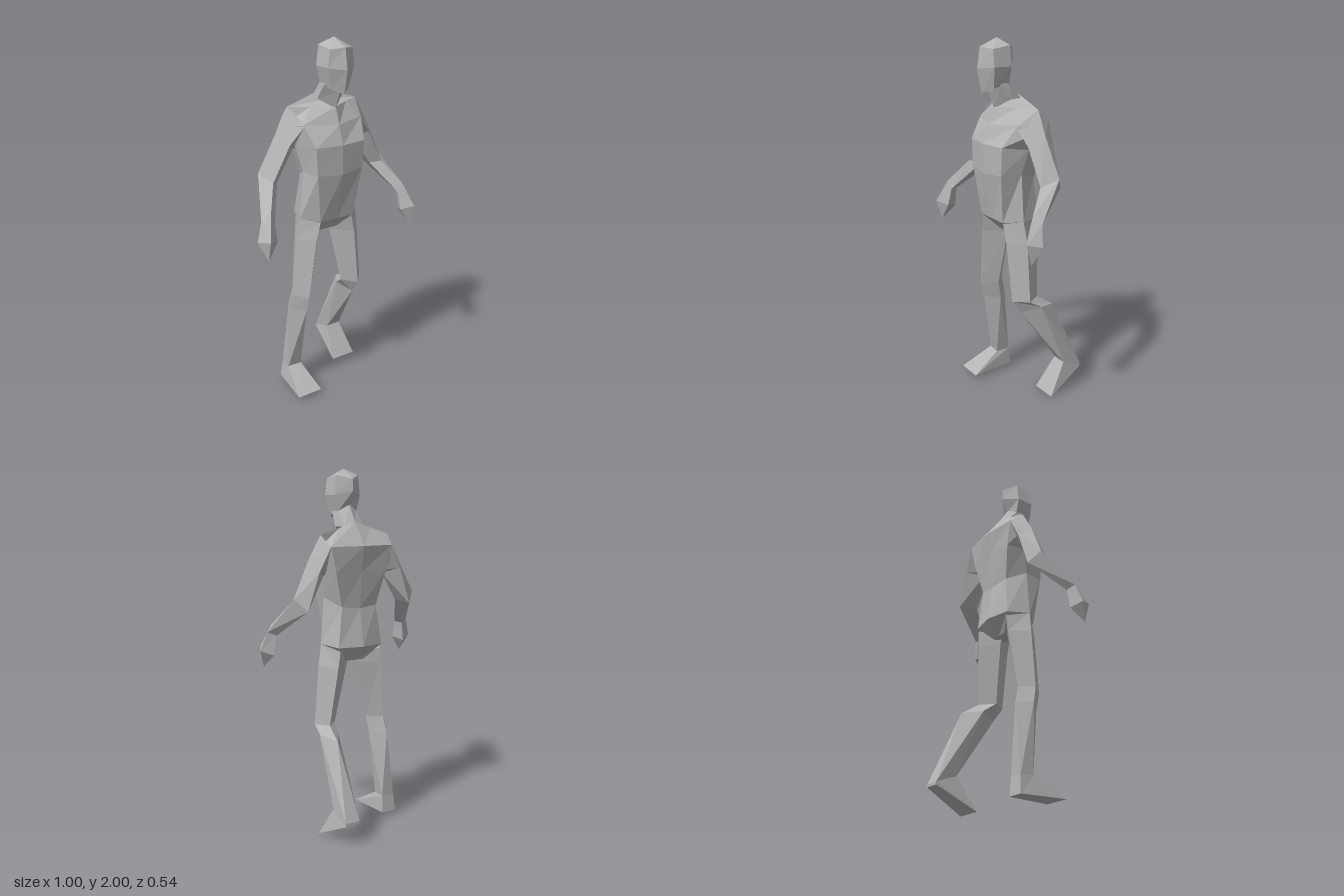
import * as THREE from 'three';

const grey = new THREE.MeshStandardMaterial({ color: 0xb4b4b4, flatShading: true });
grey.name = 'plain grey';

// Faceted skin over a stack of equal-sized rings, closed at both ends
function loft(name, rings) {
  const tris = [];
  const n = rings[0].length;
  const centre = (r) => [0, 1, 2].map((k) => r.reduce((s, p) => s + p[k], 0) / n);
  const first = rings[0], last = rings[rings.length - 1];
  const c0 = centre(first), c1 = centre(last);
  for (let i = 0; i < n; i++) {
    const j = (i + 1) % n;
    for (let k = 0; k + 1 < rings.length; k++) {
      const a = rings[k], b = rings[k + 1];
      tris.push([a[i], a[j], b[j]], [a[i], b[j], b[i]]);
    }
    tris.push([c0, first[j], first[i]], [c1, last[i], last[j]]);
  }
  // Turn the faces outward whichever way the rings run
  let volume = 0;
  const v = tris.map((t) => t.map((p) => new THREE.Vector3(...p)));
  v.forEach(([a, b, c]) => { volume += a.dot(b.clone().cross(c)); });
  if (volume < 0) v.forEach((t) => t.reverse());
  const geometry = new THREE.BufferGeometry().setFromPoints(v.flat());
  geometry.computeVertexNormals();
  const mesh = new THREE.Mesh(geometry, grey);
  mesh.name = name;
  return mesh;
}

// Full ring from a half ring that runs front centre to back centre
const whole = (half) => [...half, ...half.slice(1, -1).reverse().map(([x, y, z]) => [-x, y, z])];
const side = (rings, s) => rings.map((r) => r.map(([x, y, z]) => [s * x, y, z]));

export function createModel() {
  const group = new THREE.Group();
  group.name = 'walkingFigure';

  // Head: front ridge, brow, temple, back ridge
  group.add(loft('head', [
    [[0, 1.725, 0.23], [0.055, 1.75, 0.19], [0.06, 1.77, 0.1], [0, 1.8, 0.08]],
    [[0, 1.85, 0.255], [0.08, 1.86, 0.2], [0.083, 1.86, 0.1], [0, 1.88, 0.04]],
    [[0, 1.96, 0.235], [0.068, 1.95, 0.2], [0.07, 1.965, 0.1], [0, 1.945, 0.04]],
    [[0, 2, 0.137], [0.002, 2, 0.136], [0.002, 2, 0.135], [0, 2, 0.134]],
  ].map(whole)));

  group.add(loft('neck', [
    [[0, 1.64, 0.155], [0.077, 1.69, 0.1], [0.06, 1.69, 0.03], [0, 1.715, 0.02]],
    [[0, 1.73, 0.19], [0.066, 1.77, 0.15], [0.058, 1.78, 0.1], [0, 1.81, 0.08]],
  ].map(whole)));

  // Torso from crotch to shoulder line
  group.add(loft('torso', [
    [[0, 0.955, 0.09], [0.055, 0.955, 0.09], [0.06, 0.955, 0.05], [0.05, 0.955, 0.01], [0, 0.955, 0.01]],
    [[0, 1.04, 0.175], [0.105, 1.04, 0.175], [0.18, 1.05, 0.09], [0.14, 1.04, -0.035], [0, 1.04, -0.065]],
    [[0, 1.3, 0.225], [0.14, 1.31, 0.205], [0.16, 1.31, 0.09], [0.11, 1.26, -0.02], [0, 1.25, -0.03]],
    [[0, 1.46, 0.225], [0.15, 1.46, 0.205], [0.185, 1.44, 0.06], [0.16, 1.45, -0.045], [0, 1.45, -0.05]],
    [[0, 1.56, 0.19], [0.18, 1.57, 0.13], [0.26, 1.55, 0.03], [0.195, 1.59, -0.052], [0, 1.59, -0.072]],
    [[0, 1.65, 0.155], [0.11, 1.65, 0.09], [0.215, 1.65, 0.025], [0.1, 1.685, 0.022], [0, 1.715, 0.02]],
  ].map(whole)));

  // Arms: rings run top, front, inner, back
  const wrist = [[0.465, 1.13, 0.175], [0.425, 1.165, 0.205], [0.4, 1.115, 0.2], [0.42, 1.11, 0.155]];
  const elbow = [[0.385, 1.32, 0.012], [0.35, 1.285, 0.105], [0.3, 1.27, 0.06], [0.33, 1.255, -0.038]];
  const upperArm = [
    [[0.215, 1.65, 0.025], [0.17, 1.57, 0.135], [0.15, 1.44, 0.06], [0.195, 1.59, -0.052]],
    [[0.285, 1.525, 0.03], [0.25, 1.47, 0.11], [0.19, 1.43, 0.04], [0.26, 1.46, -0.042]],
    elbow,
  ];
  const hand = [
    wrist,
    [[0.5, 1.025, 0.195], [0.465, 1.04, 0.268], [0.4, 1.02, 0.225], [0.435, 1, 0.16]],
    [[0.462, 0.93, 0.235], [0.46, 0.93, 0.237], [0.458, 0.93, 0.235], [0.46, 0.93, 0.233]],
  ];
  // Thighs: rings run front, outer, back, inner
  const knee = [[0.165, 0.6, 0.155], [0.23, 0.6, 0.08], [0.18, 0.6, 0], [0.105, 0.6, 0.07]];
  const thigh = [
    [[0.1, 1.04, 0.17], [0.18, 1.05, 0.09], [0.13, 1.02, -0.035], [0.03, 0.955, 0.05]],
    [[0.125, 0.93, 0.165], [0.203, 0.93, 0.08], [0.14, 0.93, -0.03], [0.037, 0.93, 0.05]],
    knee,
  ];
  for (const [label, s] of [['left', 1], ['right', -1]]) {
    group.add(loft(label + 'UpperArm', side(upperArm, s)));
    group.add(loft(label + 'Forearm', side([elbow, wrist], s)));
    group.add(loft(label + 'Hand', side(hand, s)));
    group.add(loft(label + 'Thigh', side(thigh, s)));
  }

  // Right leg stands straight with the foot flat
  const rightAnkle = [[0.16, 0.125, 0.05], [0.24, 0.125, 0.045], [0.235, 0.125, -0.03], [0.157, 0.125, -0.03]];
  const rightCalf = [[0.17, 0.5, 0.13], [0.24, 0.52, 0.06], [0.19, 0.5, -0.025], [0.115, 0.5, 0.05]];
  const rightSole = [[0.13, 0.025, 0.22], [0.28, 0.025, 0.22], [0.245, 0.025, -0.04], [0.155, 0.025, -0.04]];
  group.add(loft('rightShin', side([knee, rightCalf, rightAnkle], -1)));
  group.add(loft('rightFoot', side([rightAnkle, rightSole], -1)));

  // Left leg trails behind, heel lifted
  const leftCalf = [[0.17, 0.52, 0.098], [0.24, 0.56, 0.01], [0.19, 0.535, -0.1], [0.125, 0.55, 0]];
  const leftAnkle = [[0.16, 0.175, -0.145], [0.247, 0.175, -0.145], [0.244, 0.13, -0.268], [0.158, 0.13, -0.268]];
  const leftSole = [[0.13, 0, -0.035], [0.28, 0, -0.035], [0.244, 0.115, -0.268], [0.158, 0.115, -0.268]];
  group.add(loft('leftShin', [knee, leftCalf, leftAnkle]));
  group.add(loft('leftFoot', [leftAnkle, leftSole]));

  return group;
}
